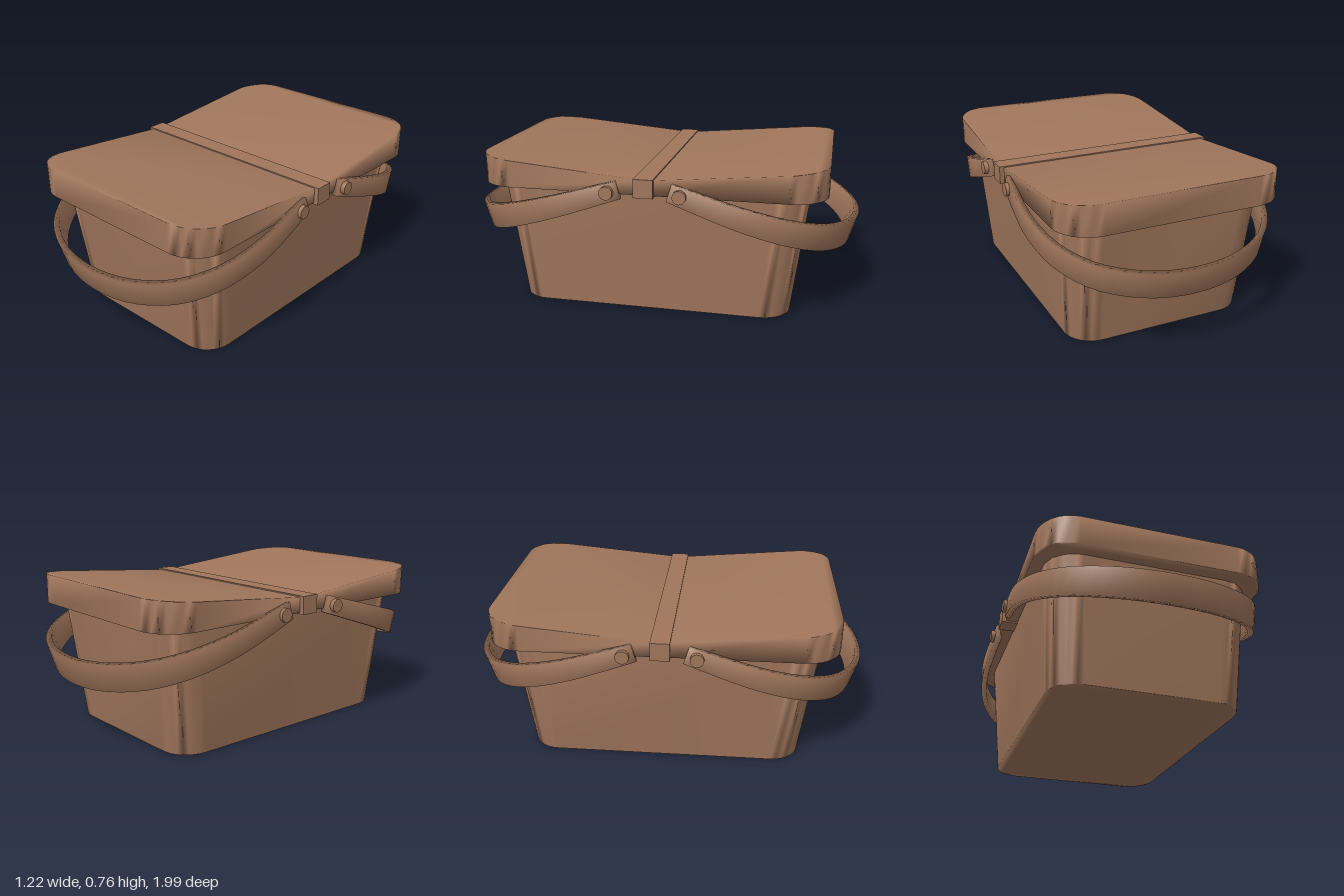
import * as THREE from 'three';

const wicker = new THREE.MeshStandardMaterial({ color: 0xa0765c });
wicker.name = 'warm brown';

function mesh(name, geometry) {
  const m = new THREE.Mesh(geometry, wicker);
  m.name = name;
  return m;
}

function smoothGeometry(positions, index) {
  const g = new THREE.BufferGeometry();
  g.setAttribute('position', new THREE.Float32BufferAttribute(positions, 3));
  g.setIndex(index);
  g.computeVertexNormals();
  return g;
}

// Rounded corner points in plan, from angle a0 over a quarter turn
function corner(cx, cz, r, a0, steps = 8) {
  return Array.from({ length: steps + 1 }, (_, i) => {
    const a = a0 + (i / steps) * Math.PI / 2;
    return new THREE.Vector2(cx + r * Math.cos(a), cz + r * Math.sin(a));
  });
}

// Closed solid between two matching plan outlines (x, z); heights are functions of z
function loft(bottom, top, yBottom, yTop) {
  const n = bottom.length, pos = [], idx = [];
  bottom.forEach(p => pos.push(p.x, yBottom(p.y), p.y));
  top.forEach(p => pos.push(p.x, yTop(p.y), p.y));
  for (let i = 0; i < n; i++) {
    const j = (i + 1) % n;
    idx.push(i, n + i, j, j, n + i, n + j);
  }
  for (const [a, b, c] of THREE.ShapeUtils.triangulateShape(bottom, [])) {
    idx.push(a, b, c, n + a, n + c, n + b);
  }
  return smoothGeometry(pos, idx);
}

function roundedRect(hx, hz, r) {
  const signs = [[1, 1], [-1, 1], [-1, -1], [1, -1]];
  return signs.flatMap(([sx, sz], k) => corner(sx * (hx - r), sz * (hz - r), r, k * Math.PI / 2));
}

// Bent carrying band: widens from the pivots to the middle
function handleGeometry() {
  const half = [[0.572, 0], [0.583, 0.13], [0.59, 0.29], [0.58, 0.41], [0.545, 0.55],
    [0.485, 0.66], [0.395, 0.755], [0.22, 0.845]];
  const points = [...half, [0, 0.878], ...half.map(([x, z]) => [-x, z]).reverse()];
  const curve = new THREE.CatmullRomCurve3(points.map(([x, z]) => new THREE.Vector3(x, 0, z)));
  const steps = 40, t = 0.015, pos = [], idx = [];
  for (let i = 0; i <= steps; i++) {
    const p = curve.getPointAt(i / steps), d = curve.getTangentAt(i / steps);
    const h = 0.0435 + 0.0255 * p.z / 0.878;
    for (const [o, v] of [[t, -h], [t, h], [-t, h], [-t, -h]]) {
      pos.push(p.x + d.z * o, v, p.z - d.x * o);
    }
  }
  for (let i = 0; i < steps; i++) {
    for (let k = 0; k < 4; k++) {
      const a = i * 4 + k, b = i * 4 + (k + 1) % 4;
      idx.push(a, b, a + 4, a + 4, b, b + 4);
    }
  }
  const e = steps * 4;
  idx.push(0, 2, 1, 0, 3, 2, e, e + 1, e + 2, e, e + 2, e + 3);
  return smoothGeometry(pos, idx);
}

export function createModel() {
  const basket = new THREE.Group();
  basket.name = 'picnicBasket';

  // Tapered body
  const body = mesh('body', loft(roundedRect(0.464, 0.684, 0.14), roundedRect(0.512, 0.765, 0.16),
    () => 0, () => 0.63));
  body.position.x = 0.003;
  basket.add(body);

  // Centre bar across the lids
  const bar = mesh('centreBar', new THREE.BoxGeometry(1.18, 0.09, 0.094));
  bar.position.y = 0.65;
  basket.add(bar);

  // Each end has a sloping lid flap, a handle and two pivot pins
  const w = 0.567, len = 0.845, r = 0.175;
  const plan = [new THREE.Vector2(w, 0), ...corner(w - r, len - r, r, 0),
    ...corner(r - w, len - r, r, Math.PI / 2), new THREE.Vector2(-w, 0)];
  const lidGeometry = loft(plan, plan, () => 0.613, z => 0.685 + 0.075 * z / len);
  const bandGeometry = handleGeometry();
  const pinGeometry = new THREE.CylinderGeometry(0.033, 0.033, 0.055, 16).rotateZ(Math.PI / 2);

  for (const [name, turn] of [['front', 0], ['back', Math.PI]]) {
    const end = new THREE.Group();
    end.name = name + 'End';
    end.rotation.y = turn;
    end.add(mesh(name + 'Lid', lidGeometry));

    const handle = mesh(name + 'Handle', bandGeometry);
    handle.position.set(0, 0.636, 0.123);
    handle.rotation.x = 0.3;
    end.add(handle);

    for (const side of [1, -1]) {
      const pin = mesh(name + 'PivotPin', pinGeometry);
      pin.position.set(side * 0.584, 0.624, 0.174);
      end.add(pin);
    }
    basket.add(end);
  }
  return basket;
}
